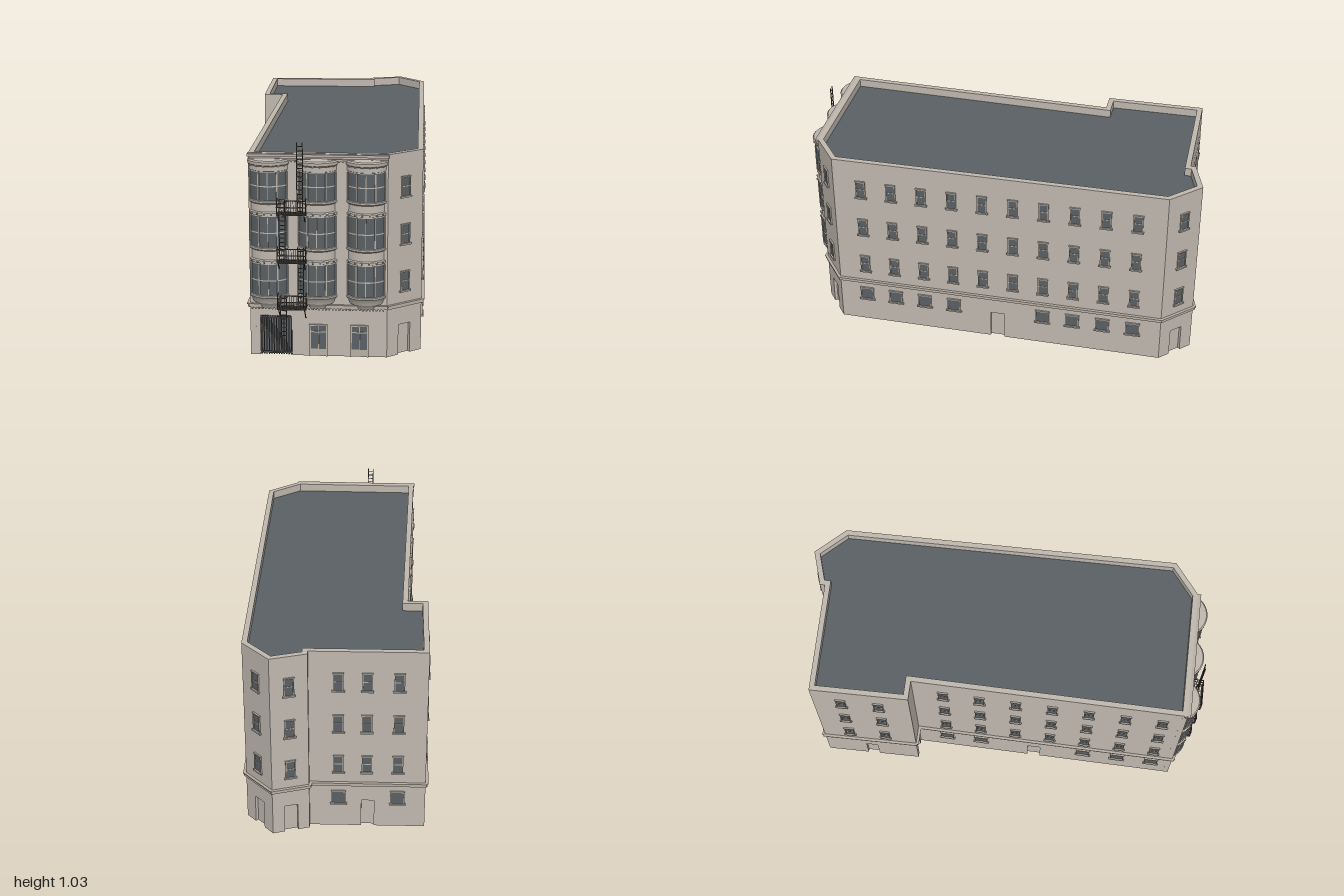
import * as THREE from 'three';
import { toCreasedNormals } from 'three/addons/utils/BufferGeometryUtils.js';

const mat = (name, color, side = THREE.FrontSide) => {
  const m = new THREE.MeshStandardMaterial({ color, side });
  m.name = name;
  return m;
};

export function createModel() {
  const stone = mat('stone wall', 0xbfb8af, THREE.DoubleSide);
  const trim = mat('stone trim', 0xb8b0a5);
  const glass = mat('glass', 0x5a6064, THREE.DoubleSide);
  const roofing = mat('roofing', 0x5a6064, THREE.DoubleSide);
  const iron = mat('iron', 0x55534f);
  const model = new THREE.Group();
  model.name = 'building';

  const add = (parent, name, geo, material, x = 0, y = 0, z = 0) => {
    const m = new THREE.Mesh(geo, material);
    m.name = name;
    m.position.set(x, y, z);
    parent.add(m);
    return m;
  };
  const box = (parent, name, material, w, h, d, x, y, z) =>
    add(parent, name, new THREE.BoxGeometry(w, h, d), material, x, y, z);
  const group = (parent, name, x = 0, y = 0, z = 0) => {
    const g = new THREE.Group();
    g.name = name;
    g.position.set(x, y, z);
    parent.add(g);
    return g;
  };

  const T = 0.026, ROOF = 0.925, TOP = 0.965;
  const FLOORS = [0.312, 0.537, 0.762];

  // Footprint corners (x, z), and what each wall carries, measured along it
  const corners = [[-0.352, 0.915], [0.28, 0.915], [0.435, 0.795], [0.415, -0.85], [0.28, -0.99],
    [0.11, -0.935], [0.11, -0.91], [-0.437, -0.9], [-0.43, -0.42], [-0.335, -0.42]];
  const row = (start, step, n) => Array.from({ length: n }, (_, i) => start + i * step);
  const rightCols = row(0.138, 0.152, 10), leftCols = row(0.15, 0.18, 7);
  const walls = [
    { name: 'frontWall', doors: [[0.12, 0.147, 0.193]], gate: true },
    { name: 'frontCornerWall', cols: [0.098], doors: [[0.098, 0.066, 0.147]] },
    { name: 'rightWall', cols: rightCols, low: rightCols.filter((_, i) => i < 4 || i > 5), doors: [[0.82, 0.07, 0.147]] },
    { name: 'backCornerWall', cols: [0.097], doors: [[0.097, 0.066, 0.147]] },
    { name: 'backAngledWall', cols: [0.09], doors: [[0.09, 0.066, 0.147]] },
    { name: 'backStepWall' },
    { name: 'backWall', cols: [0.137, 0.27, 0.416], low: [0.137, 0.416], doors: [[0.275, 0.06, 0.147]] },
    { name: 'wingLeftWall', cols: [0.14, 0.325], doors: [[0.24, 0.06, 0.147]] },
    { name: 'wingFrontWall', doors: [[0.048, 0.05, 0.147]] },
    { name: 'leftWall', cols: leftCols, low: [0, 1, 4, 5, 6].map(i => leftCols[i]), doors: [[0.61, 0.066, 0.147]] },
  ];

  // Sash window with thin frame and projecting sill
  const sash = (parent, u, y, w, h, bars) => {
    const g = group(parent, 'window', u, y, 0);
    box(g, 'windowGlass', glass, w, h, 0.006, 0, h / 2, 0);
    for (const s of [-1, 1]) box(g, 'windowJamb', trim, 0.004, h, 0.014, s * w / 2, h / 2, 0);
    box(g, 'windowHead', trim, w + 0.008, 0.006, 0.016, 0, h, 0);
    box(g, 'windowSill', trim, w + 0.016, 0.008, 0.022, 0, -0.004, 0);
    if (bars) box(g, 'meetingRail', trim, w, 0.004, 0.01, 0, h / 2, 0);
  };

  let front;
  walls.forEach((wall, i) => {
    const [ax, az] = corners[i], [bx, bz] = corners[(i + 1) % corners.length];
    const len = Math.hypot(bx - ax, bz - az);
    const g = group(model, wall.name, ax, 0, az);
    g.rotation.y = Math.atan2(az - bz, bx - ax);
    if (i === 0) front = g;

    // Wall outline dips up around each doorway
    const s = new THREE.Shape();
    s.moveTo(0, 0);
    for (const [u, w, h] of wall.doors || []) {
      s.lineTo(u - w / 2, 0);
      s.lineTo(u - w / 2, h);
      s.lineTo(u + w / 2, h);
      s.lineTo(u + w / 2, 0);
    }
    s.lineTo(len, 0);
    s.lineTo(len, ROOF);
    s.lineTo(0, ROOF);
    add(g, 'wallPanel', new THREE.ExtrudeGeometry(s, { depth: T, bevelEnabled: false }), stone, 0, 0, -T);

    // String course above the ground floor
    box(g, 'stringCourse', trim, len + 0.008, 0.016, 0.02, len / 2, 0.242, 0);
    box(g, 'stringCourseLip', trim, len + 0.012, 0.005, 0.028, len / 2, 0.25, 0);

    for (const [u, w, h] of wall.doors || []) {
      if (!wall.gate) box(g, 'doorLeaf', stone, w, h, 0.006, u, h / 2, -0.018);
      box(g, 'doorBacking', glass, w, h, 0.005, u, h / 2, -T + 0.002);
    }
    for (const u of wall.cols || []) for (const y of FLOORS) sash(g, u, y, 0.044, 0.09, true);
    for (const u of wall.low || []) sash(g, u, 0.134, 0.064, 0.066, false);
  });

  // Inset outline for the parapet and roof, in (x, -z)
  const pts = corners.map(([x, z]) => new THREE.Vector2(x, -z));
  const normal = (a, b) => new THREE.Vector2(a.y - b.y, b.x - a.x).normalize();
  const inset = pts.map((p, i) => {
    const n1 = normal(pts.at(i - 1), p), n2 = normal(p, pts[(i + 1) % pts.length]);
    return p.clone().addScaledVector(n1.clone().add(n2), T / (1 + n1.dot(n2)));
  });
  const ring = new THREE.Shape(pts);
  ring.holes.push(new THREE.Path(inset));
  add(model, 'parapet', new THREE.ExtrudeGeometry(ring, { depth: TOP - ROOF, bevelEnabled: false })
    .rotateX(-Math.PI / 2), stone, 0, ROOF, 0);
  add(model, 'roof', new THREE.ShapeGeometry(new THREE.Shape(inset)).rotateX(-Math.PI / 2), roofing, 0, ROOF, 0);

  // Front gate bars
  const X0 = corners[0][0];
  for (const u of row(0.051, 0.0115, 13)) box(front, 'gateBar', iron, 0.005, 0.19, 0.006, u, 0.096, -0.008);
  for (const y of [0.012, 0.185]) box(front, 'gateRail', iron, 0.147, 0.006, 0.006, 0.12, y, -0.006);

  // Shop windows
  for (const x of [-0.037, 0.153]) {
    const g = group(front, 'shopWindow', x - X0, 0, 0);
    box(g, 'shopPanel', trim, 0.076, 0.15, 0.008, 0, 0.076, 0);
    box(g, 'shopGlass', glass, 0.07, 0.112, 0.011, 0, 0.092, 0);
    for (const s of [-1, 1]) box(g, 'shopJamb', trim, 0.006, 0.153, 0.018, s * 0.039, 0.0765, 0);
    box(g, 'shopHead', trim, 0.084, 0.006, 0.018, 0, 0.152, 0);
    box(g, 'shopMullion', trim, 0.004, 0.112, 0.015, 0, 0.092, 0);
    box(g, 'shopTransom', trim, 0.07, 0.005, 0.015, 0, 0.12, 0);
  }

  // Front cornices and dentils
  box(front, 'topCornice', trim, 0.64, 0.012, 0.03, 0.316, 0.957, 0);
  box(front, 'lowerCornice', trim, 0.634, 0.008, 0.02, 0.316, 0.937, 0);
  for (const u of row(0.01, 0.0155, 40)) {
    box(front, 'dentil', trim, 0.007, 0.008, 0.016, u, 0.231, 0.004);
    box(front, 'topDentil', trim, 0.006, 0.007, 0.014, u, 0.929, 0.002);
  }

  // Curved bays: turned profile (extra radius, y), bands of glass, mullions
  const R = 0.099, BACK = -0.054, SPAN = 1.02;
  const profile = [[-0.045, 0.228], [-0.028, 0.235], [-0.022, 0.25], [-0.008, 0.262], [0, 0.285], [0.006, 0.292], [0.006, 0.3], [0, 0.302],
    [0, 0.456], [0.005, 0.458], [0.005, 0.47], [-0.002, 0.474], [-0.002, 0.515], [0.006, 0.522], [0.006, 0.53], [0, 0.532],
    [0, 0.682], [0.005, 0.684], [0.005, 0.696], [-0.002, 0.7], [-0.002, 0.735], [0.006, 0.742], [0.006, 0.75], [0, 0.752],
    [0, 0.888], [0.004, 0.89], [0.004, 0.912], [0.01, 0.918], [0.012, 0.932], [0.006, 0.938], [-0.045, 0.942]]
    .map(([r, y]) => new THREE.Vector2(R + r, y));
  const bayGeo = toCreasedNormals(new THREE.LatheGeometry(profile, 12, -SPAN, 2 * SPAN), 0.5);
  const band = (r, h) => new THREE.CylinderGeometry(r, r, h, 12, 1, true, -0.95, 1.9);
  for (const x of [-0.261, -0.04, 0.183]) {
    const bay = group(front, 'bay', x - X0, 0, BACK);
    add(bay, 'bayBody', bayGeo, stone);
    for (const [lo, hi, mid] of [[0.304, 0.452, 0.375], [0.534, 0.678, 0.602], [0.754, 0.884, 0.82]]) {
      const h = hi - lo, y = (hi + lo) / 2;
      add(bay, 'bayGlass', band(R + 0.002, h), glass, 0, y, 0);
      add(bay, 'bayTransom', band(R + 0.004, 0.005), stone, 0, mid, 0);
      for (const a of [-0.95, -0.42, 0, 0.42, 0.95]) {
        const m = box(bay, 'bayMullion', trim, a ? 0.006 : 0.003, h, 0.008, Math.sin(a) * (R + 0.002), y, Math.cos(a) * (R + 0.002));
        m.rotation.y = a;
      }
    }
    // Small brackets under each window band and the bay cornice
    for (const y of [0.465, 0.691, 0.914]) for (const a of row(-0.8, 0.32, 6)) {
      const m = box(bay, 'bayBracket', trim, 0.006, 0.008, 0.01, Math.sin(a) * (R + 0.006), y, Math.cos(a) * (R + 0.006));
      m.rotation.y = a;
    }
  }

  // Fire escape: balconies with railings, braces, and ladders between them
  const escape = group(model, 'fireEscape');
  const W = 0.13, CX = -0.153, Z0 = 0.925, Z1 = 0.995, ZM = (Z0 + Z1) / 2, D = Z1 - Z0;
  for (const y of [0.25, 0.472, 0.698]) {
    const g = group(escape, 'balcony', CX, y, 0);
    for (const z of row(Z0 + 0.02, 0.012, 5)) box(g, 'balconySlat', iron, W, 0.004, 0.005, 0, 0, z);
    for (const h of [0.0, 0.035, 0.066]) {
      box(g, 'frontRail', iron, W, 0.004, 0.004, 0, h, Z1);
      for (const s of [-1, 1]) box(g, 'sideRail', iron, 0.004, 0.004, D, s * W / 2, h, ZM);
    }
    for (const x of row(-W / 2, W / 12, 13)) box(g, 'baluster', iron, 0.002, 0.066, 0.002, x, 0.033, Z1);
    for (const s of [-1, 1]) {
      for (const z of row(Z0 + 0.02, 0.02, 3)) box(g, 'sideBaluster', iron, 0.002, 0.066, 0.002, s * W / 2, 0.033, z);
      const brace = box(g, 'brace', iron, 0.004, 0.004, 0.095, s * W / 2.2, -0.03, ZM);
      brace.rotation.x = -0.72;
    }
  }
  for (const [x, y0, y1] of [[-0.192, 0.105, 0.31], [-0.112, 0.25, 0.54], [-0.195, 0.472, 0.765], [-0.114, 0.698, 1.027]]) {
    const g = group(escape, 'ladder', x, 0, 0.973);
    for (const s of [-1, 1]) box(g, 'ladderStile', iron, 0.004, y1 - y0, 0.004, s * 0.013, (y0 + y1) / 2, 0);
    for (let y = y0 + 0.012; y < y1; y += 0.02) box(g, 'ladderRung', iron, 0.026, 0.003, 0.003, 0, y, 0);
  }
  return model;
}
